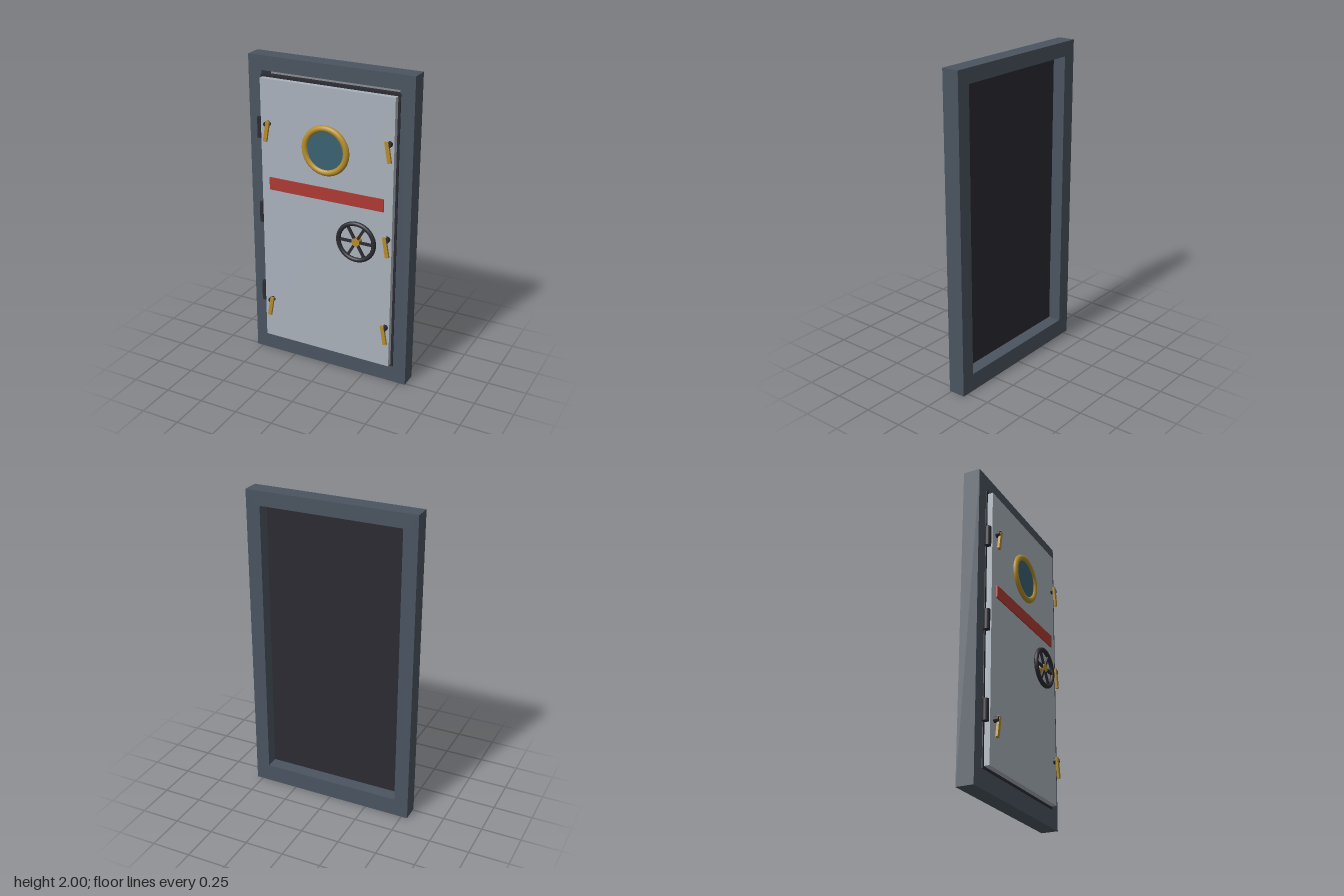
import * as THREE from 'three';

const mat = (name, color) => Object.assign(new THREE.MeshStandardMaterial({ color }), { name });

export function createModel() {
  const frameMat = mat('slate frame', 0x4a5460);
  const doorMat = mat('pale grey paint', 0xa9b1bb);
  const darkMat = mat('dark rubber', 0x2b2b32);
  const brassMat = mat('brass', 0xb48c2c);
  const redMat = mat('red stripe', 0xad3a34);
  const glassMat = mat('teal glass', 0x3a6272);

  const model = new THREE.Group();
  model.name = 'bulkheadDoor';

  const add = (name, geo, material, x, y, z, parent = model) => {
    const mesh = new THREE.Mesh(geo, material);
    mesh.name = name;
    mesh.position.set(x, y, z);
    parent.add(mesh);
    return mesh;
  };
  const box = (w, h, d) => new THREE.BoxGeometry(w, h, d);
  // cylinder with its axis along z
  const disc = (r, depth, sides = 24) => new THREE.CylinderGeometry(r, r, depth, sides).rotateX(Math.PI / 2);

  // Frame with an open doorway
  const rect = (path, x, y0, y1) =>
    path.moveTo(-x, y0).lineTo(x, y0).lineTo(x, y1).lineTo(-x, y1).closePath();
  const outline = rect(new THREE.Shape(), 0.54, 0, 2);
  outline.holes.push(rect(new THREE.Path(), 0.45, 0.115, 1.91));
  add('frame', new THREE.ExtrudeGeometry(outline, { depth: 0.11, bevelEnabled: false }), frameMat, 0, 0, -0.098);

  // Seal behind the door, and the door leaf
  add('seal', box(0.91, 1.775, 0.032), darkMat, 0, 1.002, 0.001);
  add('doorLeaf', box(0.88, 1.745, 0.036), doorMat, 0, 1.002, 0.034);
  add('stripe', box(0.77, 0.08, 0.008), redMat, 0, 1.215, 0.056);

  // Porthole
  const porthole = new THREE.Group();
  porthole.name = 'porthole';
  porthole.position.set(0, 1.49, 0.054);
  model.add(porthole);
  add('portholeRing', new THREE.TorusGeometry(0.137, 0.02, 16, 48), brassMat, 0, 0, 0, porthole);
  add('portholeGlass', disc(0.125, 0.009, 48), glassMat, 0, 0, 0.0015, porthole);

  // Hinge barrels
  for (const y of [0.445, 1.002, 1.56]) {
    add('hinge', new THREE.CylinderGeometry(0.02, 0.02, 0.13, 20), darkMat, -0.456, y, 0.031);
  }

  // Hand wheel
  const wheel = new THREE.Group();
  wheel.name = 'handWheel';
  wheel.position.set(0.22, 0.957, 0.082);
  model.add(wheel);
  add('wheelRim', new THREE.TorusGeometry(0.118, 0.014, 14, 40), darkMat, 0, 0, 0, wheel);
  for (let i = 0; i < 3; i++) {
    add('wheelSpokes', box(0.236, 0.016, 0.012), darkMat, 0, 0, 0, wheel).rotation.z = i * Math.PI / 3;
  }
  add('wheelHub', disc(0.026, 0.041), brassMat, 0, 0, -0.0115, wheel);

  // Locking dogs: dark pivot with a tilted brass lever
  const dogs = [[-1, 1.6], [1, 1.6], [1, 1.004], [-1, 0.405], [1, 0.405]];
  for (const [side, y] of dogs) {
    const dog = new THREE.Group();
    dog.name = 'lockingDog';
    dog.position.set(side < 0 ? -0.388 : 0.413, y, 0);
    model.add(dog);
    add('dogPivot', disc(0.018, 0.033), darkMat, 0, 0, 0.066, dog);
    add('dogLever', box(0.024, 0.13, 0.015), brassMat, 0, -0.044, 0.0765, dog).rotation.z = side * 0.17;
  }

  return model;
}
